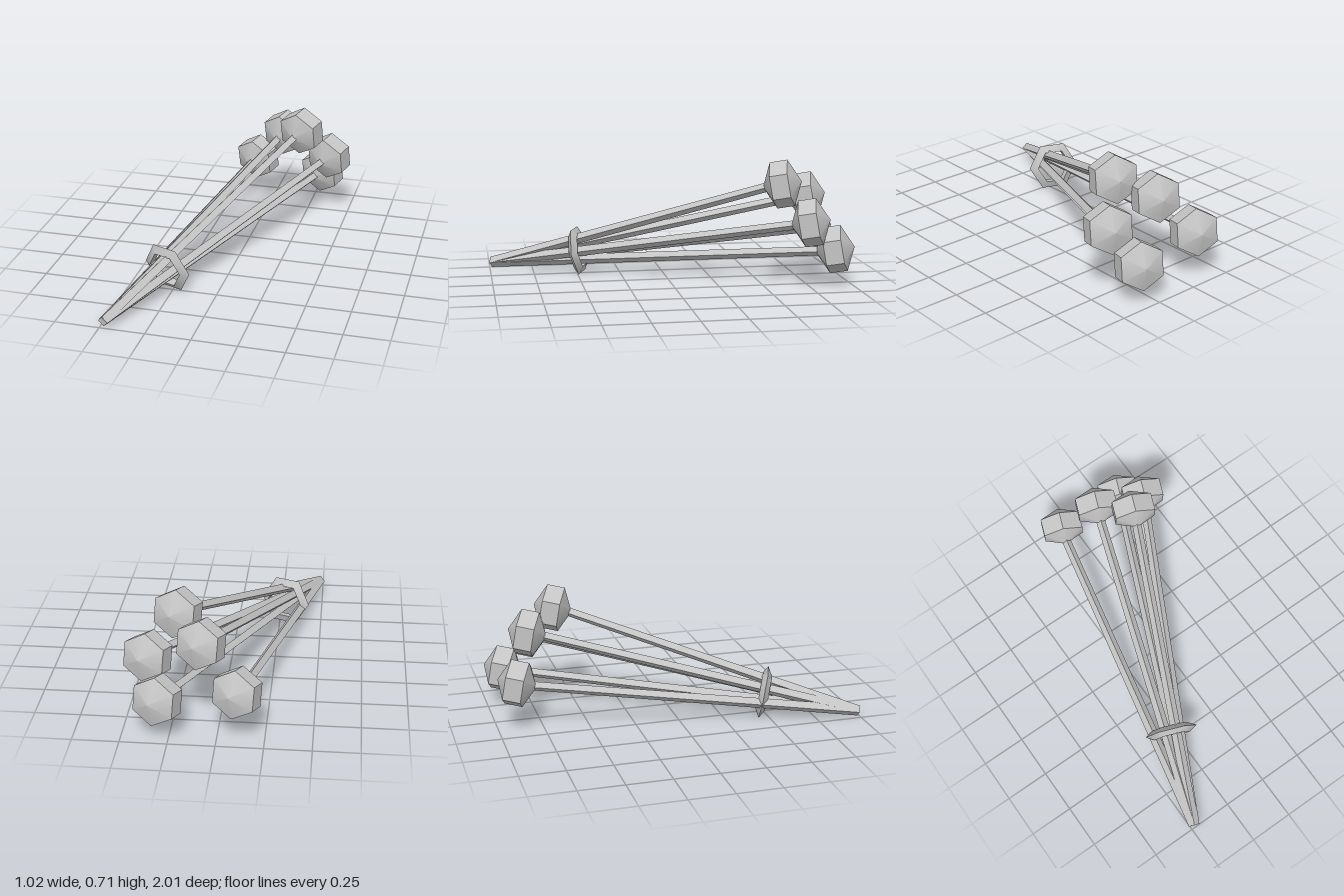
import * as THREE from 'three';
import { toCreasedNormals } from 'three/addons/utils/BufferGeometryUtils.js';

const V = (x, y, z) => new THREE.Vector3(x, y, z);

// Rotation whose -z looks along dir, with y kept as upright as possible
function facing(dir) {
  const d = dir.clone().normalize();
  const right = d.clone().cross(V(0, 1, 0)).normalize();
  const up = right.clone().cross(d);
  return new THREE.Matrix4().makeBasis(right, up, d.negate());
}

export function createModel() {
  const group = new THREE.Group();
  const grey = new THREE.MeshStandardMaterial({ color: 0xc4c4c4 });
  grey.name = 'grey';

  const add = (name, geometry, position, dir) => {
    const mesh = new THREE.Mesh(toCreasedNormals(geometry, 0.7), grey);
    mesh.name = name;
    mesh.position.copy(position);
    mesh.quaternion.setFromRotationMatrix(facing(dir));
    group.add(mesh);
  };

  const base = V(-0.48, 0.04, 0.99);
  const axis = V(0.35, 0.18, -0.92); // shared direction of the bundle
  const heads = [
    V(0.23, 0.573, -0.61),
    V(0.378, 0.376, -0.737),
    V(0.309, 0.209, -0.9),
    V(0.09, 0.485, -0.785),
    V(-0.104, 0.263, -0.885),
  ];

  // Six-sided head with a shallow point at both ends
  const profile = [[0, -0.11], [0.132, -0.05], [0.132, 0.05], [0, 0.11]]
    .map(([r, y]) => new THREE.Vector2(r, y));
  const headGeometry = new THREE.LatheGeometry(profile, 6).rotateX(-Math.PI / 2);

  heads.forEach((head, i) => {
    add('head' + (i + 1), headGeometry, head, axis);

    // Square stem, corner up, fanning out from the shared base
    const dir = head.clone().addScaledVector(axis, -0.06).sub(base);
    const stem = new THREE.CylinderGeometry(0.026, 0.031, dir.length(), 4)
      .rotateX(-Math.PI / 2);
    add('stem' + (i + 1), stem, base.clone().addScaledVector(dir, 0.5), dir);
  });

  // Hexagonal binding ring with a triangular section
  add('bindingRing', new THREE.TorusGeometry(0.12, 0.031, 3, 6), V(-0.283, 0.133, 0.49), axis);

  return group;
}
